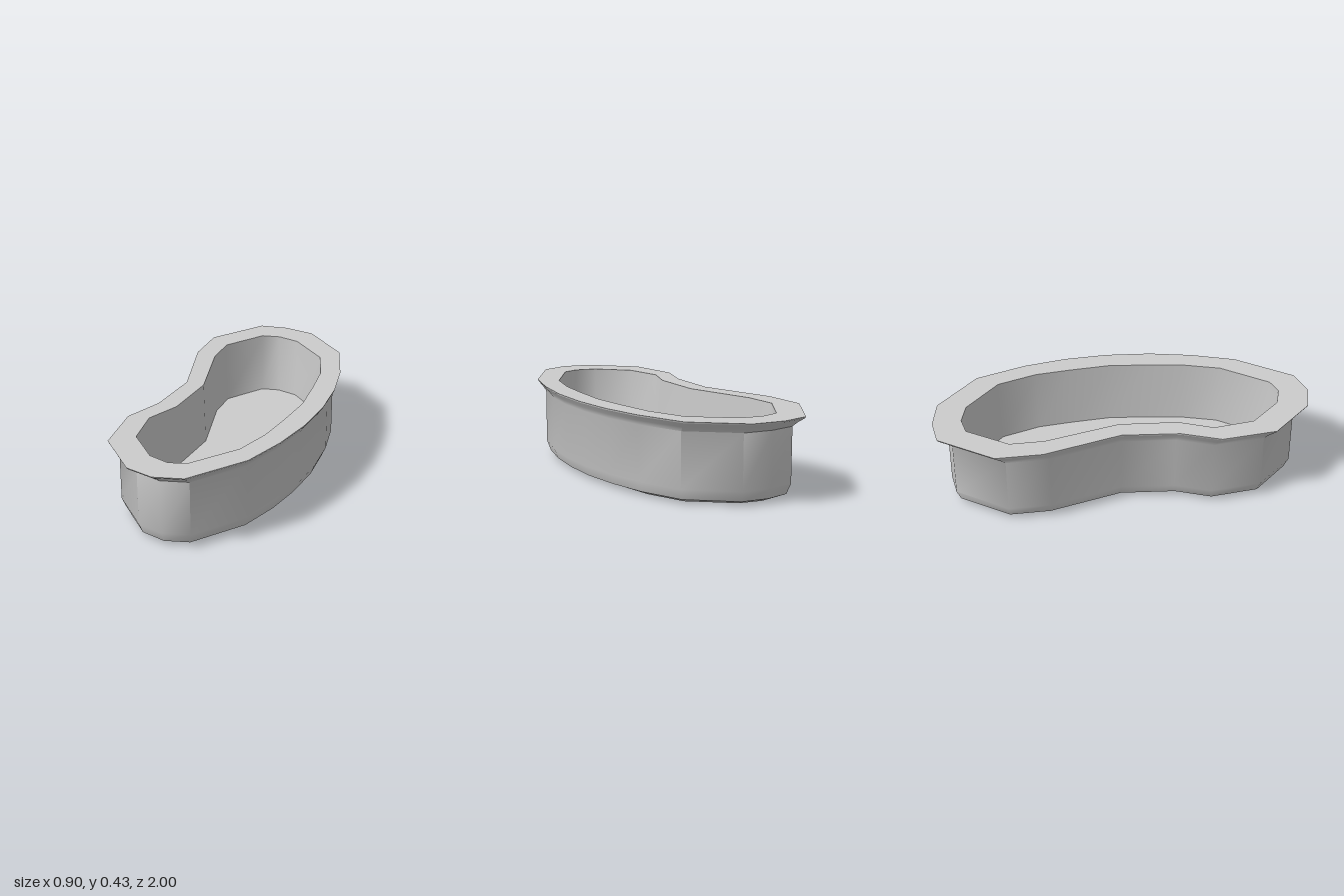
import * as THREE from 'three';
import { toCreasedNormals } from 'three/addons/utils/BufferGeometryUtils.js';

// Matching kidney outlines [x, z]: outer lip and opening, clockwise from above
const lip = [
  [-0.25, -0.98], [-0.1, -1], [0.07, -0.97], [0.31, -0.75], [0.4, -0.48], [0.44, -0.25], [0.45, -0.02],
  [0.43, 0.22], [0.38, 0.45], [0.3, 0.68], [0.09, 0.96], [-0.06, 1], [-0.21, 0.96], [-0.42, 0.74],
  [-0.45, 0.45], [-0.37, 0.25], [-0.34, -0.05], [-0.45, -0.46], [-0.45, -0.7],
];
const opening = [
  [-0.19, -0.83], [-0.09, -0.85], [0.03, -0.82], [0.23, -0.64], [0.3, -0.43], [0.32, -0.24], [0.335, -0.02],
  [0.31, 0.2], [0.28, 0.39], [0.22, 0.58], [0.04, 0.815], [-0.05, 0.84], [-0.16, 0.805], [-0.31, 0.645],
  [-0.34, 0.43], [-0.265, 0.255], [-0.24, -0.05], [-0.335, -0.44], [-0.335, -0.62],
];

const scaled = (o, s) => o.map(([x, z]) => [x * s, z * s]);
const blend = (a, b, t) => a.map(([x, z], i) => [x + (b[i][0] - x) * t, z + (b[i][1] - z) * t]);
const wall = scaled(lip, 0.923);
const foot = blend(wall, opening, 0.95);
const floorEdge = opening.map(([x, z]) => [-0.01 + (x + 0.01) * 0.965, z * 0.982]);

// Skin a stack of closed rings [outline, y]
function loft(rings) {
  const n = lip.length;
  const pos = [];
  const index = [];
  for (const [outline, y] of rings) for (const [x, z] of outline) pos.push(x, y, z);
  for (let j = 0; j < rings.length - 1; j++) {
    for (let i = 0; i < n; i++) {
      const k = (i + 1) % n;
      const a = j * n + i, b = a + n, c = j * n + k, d = c + n;
      index.push(a, b, c, b, d, c);
    }
  }
  const g = new THREE.BufferGeometry();
  g.setAttribute('position', new THREE.Float32BufferAttribute(pos, 3));
  g.setIndex(index);
  return toCreasedNormals(g, 0.85);
}

// Flat cap facing up (dir 1) or down (dir -1)
function cap(outline, y, dir) {
  const shape = new THREE.Shape(outline.map(([x, z]) => new THREE.Vector2(x, -dir * z)));
  return new THREE.ShapeGeometry(shape).rotateX(-dir * Math.PI / 2).translate(0, y, 0);
}

export function createModel() {
  const group = new THREE.Group();
  const material = new THREE.MeshStandardMaterial({ color: 0xcccccc, side: THREE.DoubleSide });
  const add = (name, geometry) => {
    const mesh = new THREE.Mesh(geometry, material);
    mesh.name = name;
    group.add(mesh);
  };

  // Outside: bevelled foot, upright wall, flare under the lip
  add('base', cap(foot, 0.003, -1));
  add('footBevel', loft([[foot, 0.003], [blend(wall, opening, 0.28), 0.025]]));
  add('outerWall', loft([[blend(wall, opening, 0.28), 0.025], [wall, 0.08], [wall, 0.37],
    [scaled(lip, 0.955), 0.395], [scaled(lip, 0.995), 0.42]]));

  // Broad flat rim with a thin edge
  add('rim', loft([[scaled(lip, 0.995), 0.42], [lip, 0.428], [opening, 0.428]]));

  // Inside: slightly tapered wall and flat floor
  add('innerWall', loft([[opening, 0.428], [floorEdge, 0.09]]));
  add('floor', cap(floorEdge, 0.09, 1));
  return group;
}
